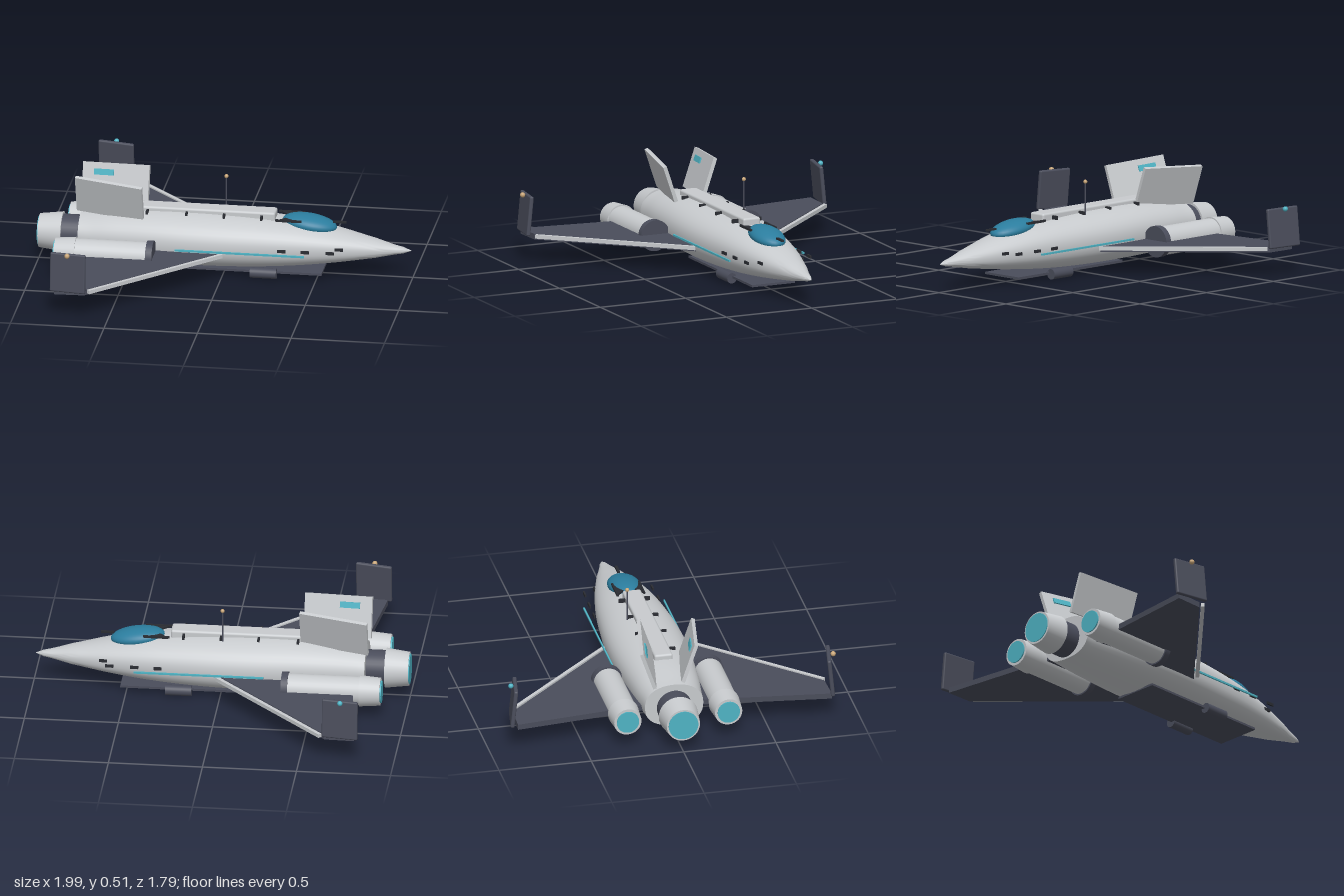
import * as THREE from 'three';
import { toCreasedNormals } from 'three/addons/utils/BufferGeometryUtils.js';
import { RoundedBoxGeometry } from 'three/addons/geometries/RoundedBoxGeometry.js';

const material = (name, color, side = THREE.FrontSide) => {
  const m = new THREE.MeshStandardMaterial({ color, side });
  m.name = name;
  return m;
};

export function createModel() {
  const hull = material('light hull grey', 0xc8cbce);
  const dark = material('dark slate', 0x4a4d5b);
  const trim = material('black trim', 0x2a2c32);
  const glass = material('canopy blue', 0x2b7d9e);
  const teal = material('teal glow', 0x4fb3c4);
  const amber = material('amber lamp', 0xc9a678);

  const model = new THREE.Group();
  model.name = 'spacecraft';

  const add = (name, geometry, mat, x = 0, y = 0, z = 0, parent = model) => {
    const mesh = new THREE.Mesh(geometry, mat);
    mesh.name = name;
    mesh.position.set(x, y, z);
    parent.add(mesh);
    return mesh;
  };
  const box = (name, mat, size, pos, parent) =>
    add(name, new THREE.BoxGeometry(...size), mat, ...pos, parent);
  const ball = (name, mat, r, pos) =>
    add(name, new THREE.SphereGeometry(r, 16, 12), mat, ...pos);
  // Cylinder lying along x, from rear x0 to front x1
  const barrel = (name, mat, x0, x1, rRear, rFront, y, z) => {
    const g = new THREE.CylinderGeometry(rRear, rFront, x1 - x0, 32);
    g.rotateZ(Math.PI / 2);
    return add(name, g, mat, (x0 + x1) / 2, y, z);
  };
  // Flat plate drawn in x,z with its top at y = 0
  const plate = (points, thickness) => {
    const shape = new THREE.Shape(points.map(([x, z]) => new THREE.Vector2(x, z)));
    const g = new THREE.ExtrudeGeometry(shape, { depth: thickness, bevelEnabled: false });
    return g.rotateX(Math.PI / 2);
  };

  add('fuselage', fuselageGeometry(), hull);
  add('spine', new RoundedBoxGeometry(0.79, 0.05, 0.1, 2, 0.012), hull, -0.125, 0.314, 0);
  for (const x of [-0.41, -0.2, 0, 0.2]) {
    box('spineRib', trim, [0.012, 0.02, 0.17], [x, 0.314, 0]);
  }
  box('bellyPlate', dark, [0.78, 0.012, 0.25], [0.14, 0.034, 0]);

  // Canopy and nose probe
  const canopy = add('canopy', new THREE.SphereGeometry(1, 32, 20), glass, 0.45, 0.277, 0);
  canopy.scale.set(0.145, 0.047, 0.086);
  canopy.rotation.z = -0.14;
  box('noseProbe', trim, [0.07, 0.01, 0.014], [0.61, 0.291, 0]);

  // Main engine
  barrel('engineCollar', dark, -0.9, -0.7, 0.094, 0.094, 0.155, 0);
  barrel('mainNozzle', hull, -0.995, -0.87, 0.09, 0.106, 0.155, 0);
  barrel('mainExhaust', teal, -1, -0.99, 0.08, 0.08, 0.155, 0);

  // Aerial
  add('aerial', new THREE.CylinderGeometry(0.004, 0.004, 0.18, 8), dark, -0.01, 0.39, -0.085);
  ball('aerialTip', amber, 0.011, [-0.01, 0.483, -0.085]);

  for (const s of [1, -1]) {
    // Wing and its separate leading edge
    const wing = [[0.065, 0.12], [-0.026, 0.215], [-0.631, 0.845], [-0.79, 0.85], [-0.705, 0.12]];
    add('wing', plate(wing.map(([x, z]) => [x, z * s]), 0.03), dark, 0, 0.15, 0);
    const edge = box('wingLeadingEdge', hull, [0.89, 0.02, 0.02], [-0.3, 0.142, s * 0.527]);
    edge.rotation.y = s * Math.atan2(0.63, 0.605);

    // Winglet with lamp
    const winglet = add('winglet', new RoundedBoxGeometry(0.195, 0.212, 0.022, 2, 0.008), dark,
      -0.715, 0.247, s * 0.858);
    winglet.rotation.set(-s * 0.1, -0.17, 0);
    ball('wingtipLamp', s > 0 ? amber : teal, 0.014, [-0.717, 0.347, s * 0.873]);

    // Tail fin with panel on its inner face
    const fin = box('tailFin', hull, [0.37, 0.22, 0.02], [-0.605, 0.395, s * 0.112]);
    fin.rotation.set(s * 0.33, -0.18, 0);
    box('finPanel', teal, [0.11, 0.032, 0.009], [-0.065, 0.06, -s * 0.012], fin);

    // Side engine
    const z = s * 0.273;
    barrel('sideEngine', hull, -0.78, -0.37, 0.076, 0.076, 0.143, z);
    barrel('sideIntake', dark, -0.38, -0.345, 0.084, 0.084, 0.143, z);
    barrel('sideNozzle', hull, -0.87, -0.76, 0.074, 0.083, 0.143, z);
    barrel('sideExhaust', teal, -0.877, -0.867, 0.06, 0.06, 0.143, z);

    // Skid pod, side stripe and windows
    barrel('skidPod', dark, 0.15, 0.29, 0.028, 0.028, 0.028, s * 0.128);
    box('sideStripe', teal, [0.69, 0.01, 0.008], [0.105, 0.163, s * 0.217]);
    for (const [x, wz] of [[0.325, 0.19], [0.45, 0.187], [0.583, 0.183], [0.622, 0.121]]) {
      box('sideWindow', trim, [0.044, 0.015, 0.009], [x, 0.178, s * wz]);
    }

    // Canopy frame
    box('canopyRail', trim, [0.14, 0.01, 0.01], [0.345, 0.308, s * 0.072]);
    const brace = [[0.28, 0.077], [0.41, 0.077], [0.33, 0.025]];
    add('canopyBrace', plate(brace.map(([x, bz]) => [x, bz * s]), 0.009), trim, 0, 0.31, 0);
  }
  return model;
}

// Loft through oval sections: x, half width, top y, bottom y
function fuselageGeometry() {
  const stations = [
    [0.99, 0.002, 0.152, 0.148], [0.95, 0.021, 0.167, 0.135], [0.8, 0.071, 0.204, 0.108],
    [0.6, 0.126, 0.25, 0.08], [0.4, 0.166, 0.286, 0.058], [0.2, 0.19, 0.306, 0.043],
    [0, 0.205, 0.316, 0.036], [-0.2, 0.207, 0.32, 0.034], [-0.4, 0.196, 0.318, 0.036],
    [-0.6, 0.178, 0.305, 0.041], [-0.77, 0.158, 0.285, 0.05],
  ];
  const sides = 40, steps = 4;
  const rings = [];
  for (let i = 0; i < stations.length - 1; i++) {
    const at = (k) => stations[Math.min(Math.max(k, 0), stations.length - 1)];
    for (let j = 0; j < steps; j++) {
      const t = j / steps;
      rings.push(at(i).map((p1, c) => {
        if (c === 0) return p1 + (at(i + 1)[0] - p1) * t;
        const p0 = at(i - 1)[c], p2 = at(i + 1)[c], p3 = at(i + 2)[c];
        if (i === 0) return p1 + (p2 - p1) * t;
        return p1 + 0.5 * t * (p2 - p0 + t * (2 * p0 - 5 * p1 + 4 * p2 - p3 + t * (3 * (p1 - p2) + p3 - p0)));
      }));
    }
  }
  rings.push(stations[stations.length - 1]);

  const pos = [], index = [];
  const power = (v, n) => Math.sign(v) * Math.abs(v) ** (2 / n);
  for (const [x, w, top, bottom] of rings) {
    for (let j = 0; j < sides; j++) {
      const a = (j / sides) * Math.PI * 2;
      const n = Math.cos(a) > 0 ? 2.2 : 2.5;
      pos.push(x, (top + bottom) / 2 + power(Math.cos(a), n) * (top - bottom) / 2, power(Math.sin(a), n) * w);
    }
  }
  const last = (rings.length - 1) * sides;
  for (let i = 0; i < rings.length - 1; i++) {
    for (let j = 0; j < sides; j++) {
      const a = i * sides + j, b = i * sides + (j + 1) % sides;
      index.push(a, a + sides, b, b, a + sides, b + sides);
    }
  }
  // Nose and tail caps
  const nose = pos.length / 3;
  pos.push(0.992, 0.15, 0, -0.77, 0.167, 0);
  for (let j = 0; j < sides; j++) {
    const k = (j + 1) % sides;
    index.push(nose, j, k, nose + 1, last + k, last + j);
  }
  const g = new THREE.BufferGeometry();
  g.setAttribute('position', new THREE.Float32BufferAttribute(pos, 3));
  g.setIndex(index);
  return toCreasedNormals(g, 0.7);
}
